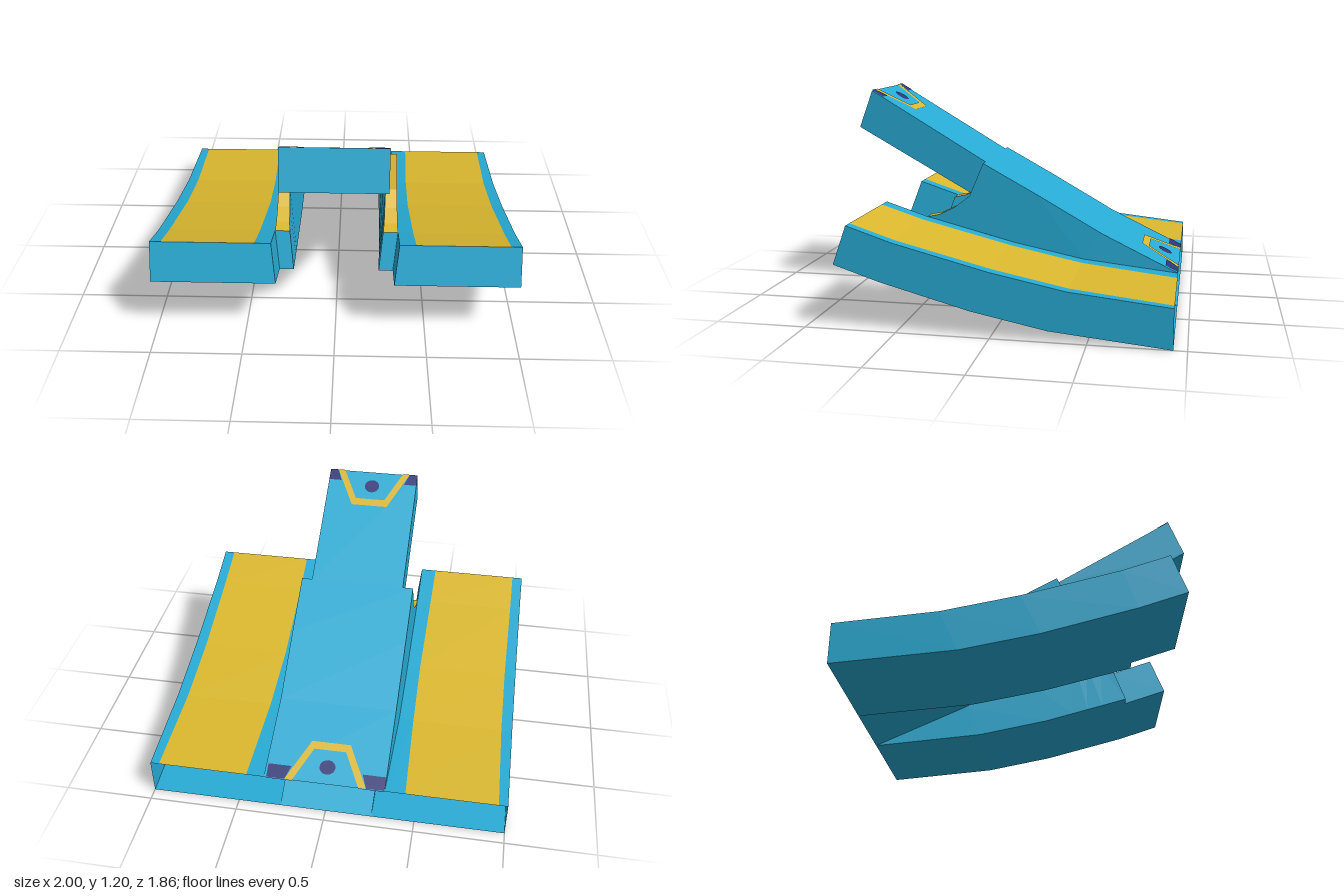
import * as THREE from 'three';

const mat = (name, color) => new THREE.MeshStandardMaterial({ name, color, side: THREE.DoubleSide });

// Profiles as [z, y] stations, back to front
const WING_TOP = [[-0.93, 0.215], [-0.4, 0.27], [0, 0.35], [0.51, 0.48], [0.755, 0.56]];
const WING_BASE = [[-0.93, 0], [-0.3, 0.06], [0.1, 0.14], [0.585, 0.27], [0.83, 0.35]];
const RAMP_TOP = [[-0.93, 0.215], [-0.5, 0.42], [-0.13, 0.63], [0.18, 0.8]];
const RAMP_BASE = [[-0.93, 0], [-0.4, 0.24], [-0.05, 0.43], [0.26, 0.61]];
const ARM_TOP = [[0.18, 0.8], [0.85, 1.198]];
const ARM_BASE = [[0.26, 0.61], [0.93, 0.985]];
const SHOULDER = [[0.18, 0.8], [0.26, 0.61], [0.35, 0.54], [0.44, 0.495], [0.51, 0.48]];

// Place a profile at one x, or at one x per station
const at = (profile, x) => profile.map(([z, y], i) => [Array.isArray(x) ? x[i] : x, y, z]);
const flip = (row) => row.map(([x, y, z]) => [-x, y, z]);

// Flat-shaded ruled strip between two rows of points
function strip(name, material, a, b) {
  const pos = [];
  for (let i = 0; i + 1 < a.length; i++) {
    for (const p of [a[i], b[i], b[i + 1], a[i], b[i + 1], a[i + 1]]) pos.push(...p);
  }
  const geo = new THREE.BufferGeometry();
  geo.setAttribute('position', new THREE.Float32BufferAttribute(pos, 3));
  geo.computeVertexNormals();
  const mesh = new THREE.Mesh(geo, material);
  mesh.name = name;
  return mesh;
}

// Thin marking: outline in (x, z) laid on a sloping line through two [z, y] points
function marking(name, material, points, [p, q], lift) {
  const geo = new THREE.ShapeGeometry(new THREE.Shape(points.map(([x, z]) => new THREE.Vector2(x, -z))));
  const pos = geo.attributes.position;
  const slope = (q[1] - p[1]) / (q[0] - p[0]);
  for (let i = 0; i < pos.count; i++) {
    const x = pos.getX(i), z = -pos.getY(i);
    pos.setXYZ(i, x, p[1] + (z - p[0]) * slope + lift, z);
  }
  geo.computeVertexNormals();
  const mesh = new THREE.Mesh(geo, material);
  mesh.name = name;
  return mesh;
}

export function createModel() {
  const group = new THREE.Group();
  const blue = mat('blue', 0x27aad3);
  const yellow = mat('yellow', 0xdab72e);
  const navy = mat('navy', 0x2e3678);

  const both = (name, m, a, b) => {
    group.add(strip(name + 'Left', m, a, b), strip(name + 'Right', m, flip(b), flip(a)));
  };
  const centre = (name, m, row, up) => {
    group.add(up ? strip(name, m, row, flip(row)) : strip(name, m, flip(row), row));
  };

  // Wings: hollow, open at the back, with a yellow panel on top
  const inner = 0.345;
  const panelIn = at(WING_TOP, [0.445, 0.428, 0.422, 0.43, 0.435]);
  const panelOut = at(WING_TOP, [0.95, 0.938, 0.935, 0.94, 0.94]);
  both('wingOuterEdge', blue, at(WING_TOP, 1), panelOut);
  both('wingPanel', yellow, panelOut, panelIn);
  both('wingInnerEdge', blue, panelIn, at(WING_TOP, inner));
  both('wingSide', blue, at(WING_BASE, 1), at(WING_TOP, 1));
  const gapX = [0.26, 0.255, 0.25, 0.24];
  both('wingBase', blue, at(WING_BASE.slice(0, 4), gapX), at(WING_BASE.slice(0, 4), 1));
  both('wingBaseFront', blue, at(WING_BASE.slice(3), 0.32), at(WING_BASE.slice(3), 1));
  const lip = [WING_TOP[4], WING_BASE[4]];
  both('wingFront', blue, at(lip, 1), at(lip, [inner, 0.32]));
  both('wingInnerSide', blue, at(WING_TOP.slice(3), inner), at(WING_BASE.slice(3), 0.32));
  const notch = [WING_TOP[3], WING_BASE[3]];
  both('notchFront', blue, at(notch, [inner, 0.32]), at(notch, [0.262, 0.24]));

  // Ramp walls, ending in the curved yellow shoulders
  const wallX = [0.332, 0.335, 0.338, 0.34, 0.342, 0.343, 0.344, 0.345];
  const wallFoot = [...WING_TOP.slice(0, 3), [0.18, 0.396], [0.26, 0.416], [0.35, 0.439], [0.44, 0.462], [0.51, 0.48]];
  both('rampWall', blue, at(wallFoot, inner), at([...RAMP_TOP, ...SHOULDER.slice(1)], wallX));
  both('shoulder', yellow, at(SHOULDER, wallX.slice(3)), at(SHOULDER, [0.278, 0.276, 0.272, 0.268, 0.262]));

  // Inner walls of the gap under the ramp
  const gapFoot = [...WING_BASE.slice(0, 3), [0.26, 0.183], [0.35, 0.207], [0.44, 0.231], [0.585, 0.27]];
  both('gapWall', blue,
    at([...RAMP_BASE, ...SHOULDER.slice(2)], [0.26, 0.265, 0.27, 0.276, 0.272, 0.268, 0.262]),
    at(gapFoot, [0.26, 0.255, 0.25, 0.247, 0.245, 0.243, 0.24]));

  // Ramp and the narrower arm rising from it
  centre('rampTop', blue, at(RAMP_TOP, wallX.slice(0, 4)), true);
  centre('rampBase', blue, at(RAMP_BASE, [0.26, 0.265, 0.27, 0.276]), false);
  centre('armTop', blue, at(ARM_TOP, 0.278), true);
  centre('armBase', blue, at(ARM_BASE, 0.276), false);
  centre('armFront', blue, at([ARM_TOP[1], ARM_BASE[1]], [0.278, 0.276]), true);
  both('armSide', blue, at(ARM_BASE, 0.276), at(ARM_TOP, 0.278));

  // Bracket, corner and dot markings at each end, on both faces of the shell
  const ends = [
    { name: 'back', line: RAMP_TOP.slice(0, 2), edge: -0.93, dir: 1, depth: 0.215, side: 0.331, corner: 0.07, dot: 0.085 },
    { name: 'front', line: ARM_TOP, edge: 0.85, dir: -1, depth: 0.21, side: 0.277, corner: 0.065, dot: 0.09 },
  ];
  for (const e of ends) {
    const z = (d) => e.edge + e.dir * d;
    const bracket = [
      [-0.228, z(0)], [-0.11, z(e.depth)], [0.11, z(e.depth)], [0.228, z(0)],
      [0.185, z(0)], [0.09, z(e.depth - 0.04)], [-0.09, z(e.depth - 0.04)], [-0.185, z(0)],
    ];
    const dot = Array.from({ length: 16 }, (_, i) => {
      const t = i / 16 * Math.PI * 2;
      return [0.045 * Math.cos(t), z(e.dot) + 0.038 * Math.sin(t)];
    });
    for (const lift of [0.004, -0.004]) {
      group.add(marking(e.name + 'Bracket', yellow, bracket, e.line, lift));
      group.add(marking(e.name + 'Dot', navy, dot, e.line, lift));
      for (const s of [-1, 1]) {
        const corner = [[e.side, 0], [0.228, 0], [0.2, e.corner], [e.side, e.corner]];
        group.add(marking(e.name + 'Corner', navy, corner.map(([x, d]) => [s * x, z(d)]), e.line, lift));
      }
    }
  }
  return group;
}
